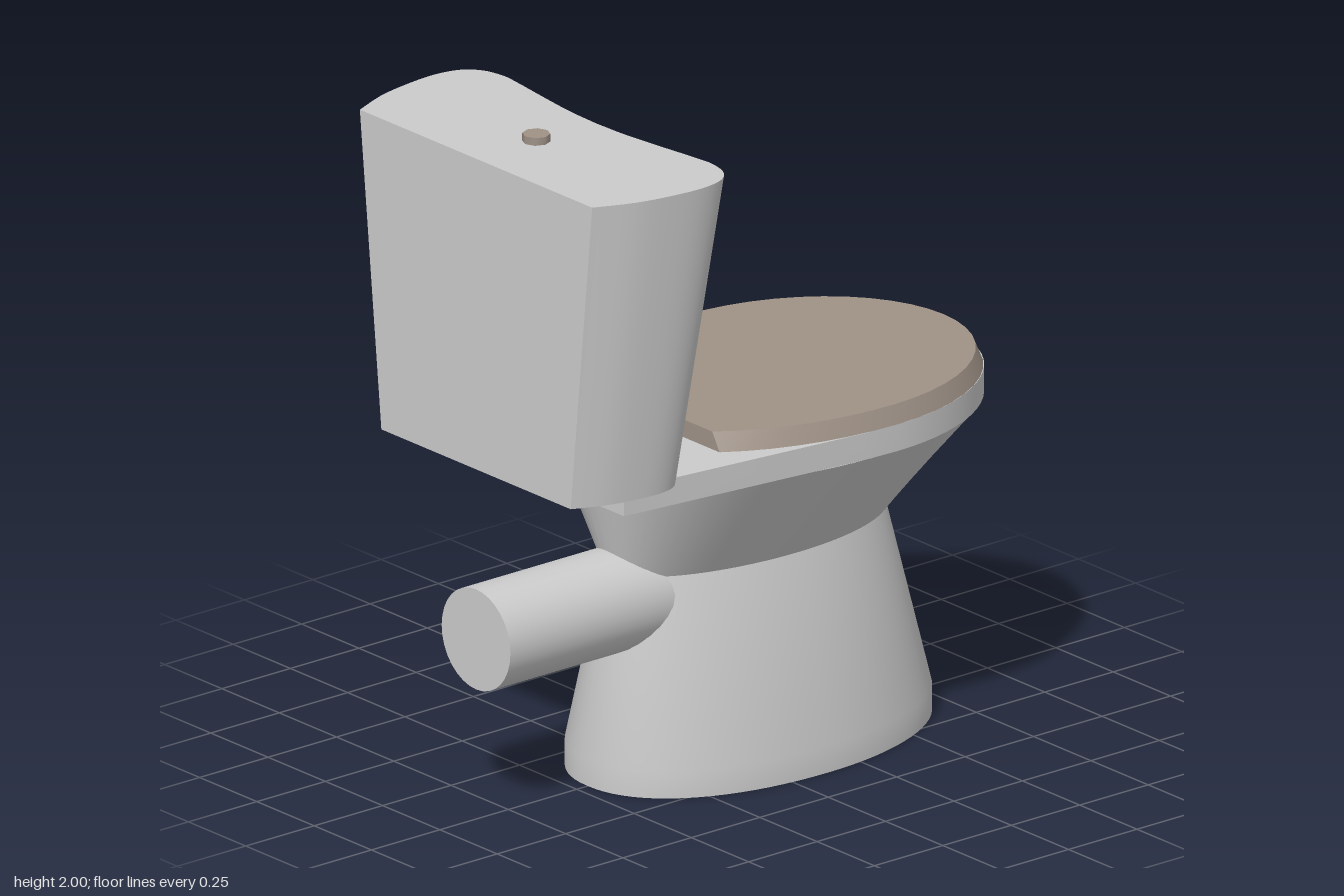
import * as THREE from 'three';
import { toCreasedNormals } from 'three/addons/utils/BufferGeometryUtils.js';

const ceramic = new THREE.MeshStandardMaterial({ color: 0xcccccc });
const brown = new THREE.MeshStandardMaterial({ color: 0x9f9287 });

// Arc of a half outline [x, z] from angle t0 to t1; n > 2 squares the curve off
function arc(cx, a, b, t0, t1, steps, n = 2) {
  const pts = [];
  for (let i = 0; i <= steps; i++) {
    const t = t0 + (t1 - t0) * i / steps;
    const c = Math.cos(t), s = Math.max(0, Math.sin(t));
    pts.push([cx + a * Math.sign(c) * Math.abs(c) ** (2 / n), b * s ** (2 / n)]);
  }
  return pts;
}

// Half egg: front reaches x1, back reaches x0, widest at cx
function egg(x0, x1, cx, b, n = 2) {
  return [
    ...arc(cx, x1 - cx, b, 0, Math.PI / 2, 20),
    ...arc(cx, cx - x0, b, Math.PI / 2, Math.PI, 20, n).slice(1),
  ];
}

// Mirror a half outline across z = 0 into a closed loop
function mirror(half) {
  const back = half.filter(p => p[1] > 1e-4).reverse().map(([x, z]) => [x, -z]);
  return [...half, ...back];
}

// Capped solid through stacked sections [y, halfOutline]
function loft(sections, crease = 0.55) {
  const rings = sections.map(([y, half]) => mirror(half).map(([x, z]) => [x, y, z]));
  const n = rings[0].length, last = rings.length - 1, pos = [];
  const tri = (...p) => p.forEach(v => pos.push(...v));
  const mid = ring => {
    const xs = ring.map(p => p[0]);
    return [(Math.min(...xs) + Math.max(...xs)) / 2, ring[0][1], 0];
  };
  const c0 = mid(rings[0]), c1 = mid(rings[last]);
  for (let i = 0; i < n; i++) {
    const j = (i + 1) % n;
    for (let r = 0; r < last; r++) {
      const lo = rings[r], hi = rings[r + 1];
      tri(lo[i], hi[i], lo[j]);
      tri(lo[j], hi[i], hi[j]);
    }
    tri(c0, rings[0][i], rings[0][j]);
    tri(c1, rings[last][j], rings[last][i]);
  }
  const g = new THREE.BufferGeometry();
  g.setAttribute('position', new THREE.Float32BufferAttribute(pos, 3));
  return toCreasedNormals(g, crease);
}

export function createModel() {
  const model = new THREE.Group();
  const add = (name, geometry, material = ceramic) => {
    const mesh = new THREE.Mesh(geometry, material);
    mesh.name = name;
    model.add(mesh);
    return mesh;
  };

  // Flared foot
  const foot = egg(-0.46, 0.73, 0.13, 0.35, 2.2);
  const waist = egg(-0.375, 0.598, 0.13, 0.215);
  add('pedestal', loft([[0, foot], [0.08, foot], [0.62, waist]]));

  // Bowl widening up to the rim
  add('bowl', loft([[0.62, waist], [0.965, egg(-0.46, 0.862, 0.27, 0.478, 2.4)]]));

  // Rim plate: round front, tapering straight back under the cistern
  const rim = [
    ...arc(0.27, 0.595, 0.48, 0, Math.PI / 2, 18),
    [0.15, 0.475], [-0.65, 0.385], [-0.65, 0],
  ];
  add('rim', loft([[0.965, rim], [1.045, rim]]));

  // Lid with bevelled edge, cut straight at the hinge side
  const lidHalf = (front, width, rear) => {
    const cut = Math.PI - Math.acos(0.525 / rear);
    return [
      ...arc(0.27, front, width, 0, Math.PI / 2, 12),
      ...arc(0.27, rear, width, Math.PI / 2, cut, 7).slice(1),
      [-0.255, 0],
    ];
  };
  add('lid', loft([
    [1.045, lidHalf(0.592, 0.48, 0.723)],
    [1.098, lidHalf(0.57, 0.46, 0.69)],
  ]), brown);

  // Cistern: flat back, bulging sides, hollowed front, narrowing downwards
  const side = new THREE.SplineCurve([
    [-0.43, 0], [-0.425, 0.12], [-0.41, 0.25], [-0.39, 0.4], [-0.387, 0.46], [-0.404, 0.525],
    [-0.45, 0.57], [-0.53, 0.587], [-0.64, 0.578], [-0.75, 0.555], [-0.868, 0.507],
  ].map(([x, z]) => new THREE.Vector2(x, z))).getPoints(40).map(p => [p.x, p.y]);
  const tankTop = [...side, [-0.868, 0]];
  const tankBase = tankTop.map(([x, z]) => [-0.868 + (x + 0.868) * 0.79, z * 0.815]);
  add('cistern', loft([[1.047, tankBase], [1.977, tankTop]]));

  // Flush button
  const button = add('flushButton',
    toCreasedNormals(new THREE.CylinderGeometry(0.04, 0.04, 0.04, 8), 0.9), brown);
  button.position.set(-0.648, 1.98, 0);

  // Waste pipe out of the back
  const pipe = add('wastePipe', new THREE.CylinderGeometry(0.15, 0.15, 0.868, 32));
  pipe.rotation.z = Math.PI / 2;
  pipe.position.set(-0.434, 0.538, 0);

  return model;
}
